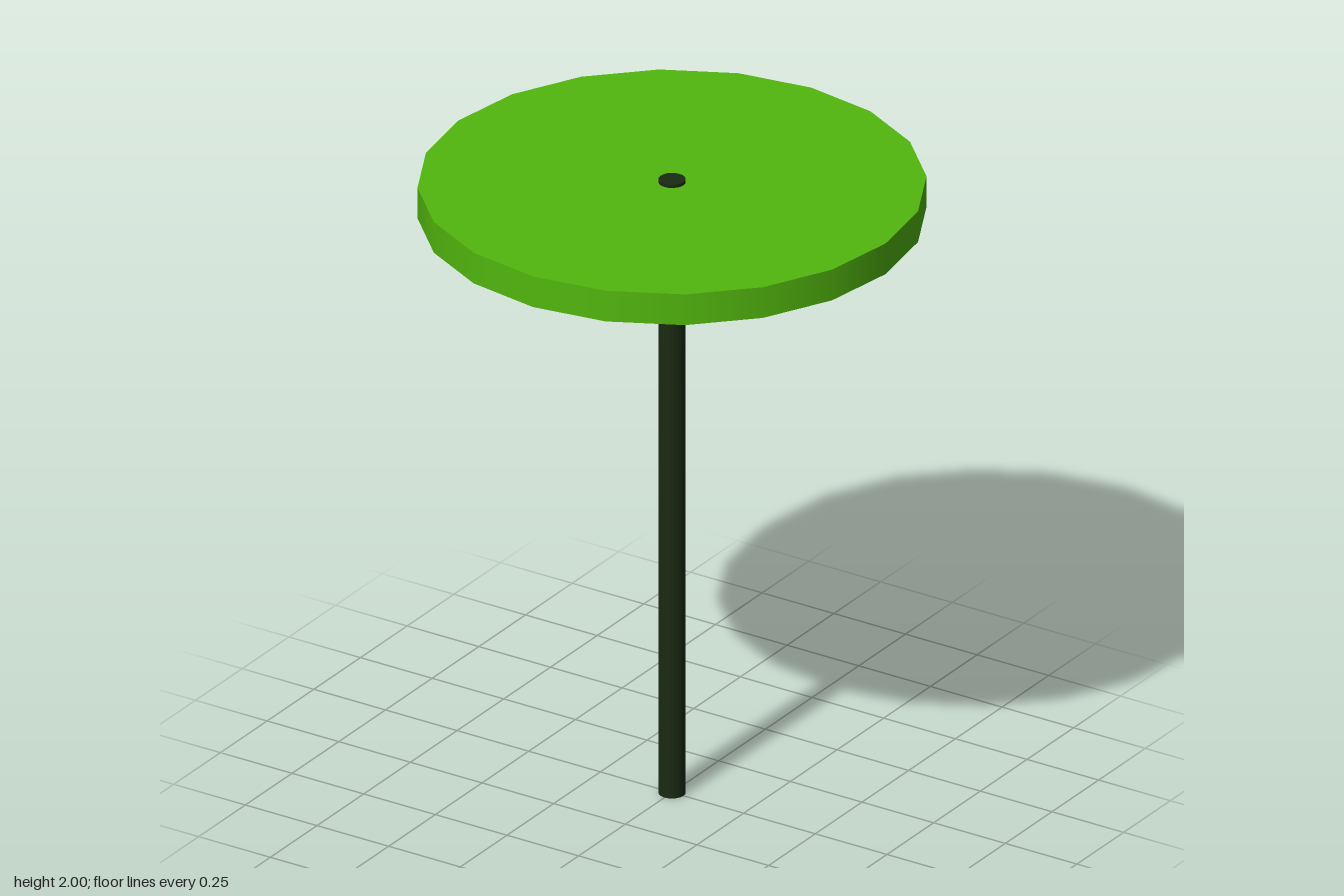
import * as THREE from 'three';

const SIDES = 20;

// Upright cylinder between two heights
function upright(name, radius, bottom, top, color) {
  const mesh = new THREE.Mesh(
    new THREE.CylinderGeometry(radius, radius, top - bottom, SIDES),
    new THREE.MeshStandardMaterial({ color })
  );
  mesh.position.y = (bottom + top) / 2;
  mesh.name = name;
  return mesh;
}

export function createModel() {
  const model = new THREE.Group();
  model.name = 'discOnPole';
  // Thin pole, its tip just showing above the disc
  model.add(upright('pole', 0.04, 0, 2, 0x1a2a12));
  // Wide flat disc near the top
  model.add(upright('disc', 0.745, 1.89, 1.99, 0x52b70e));
  return model;
}
